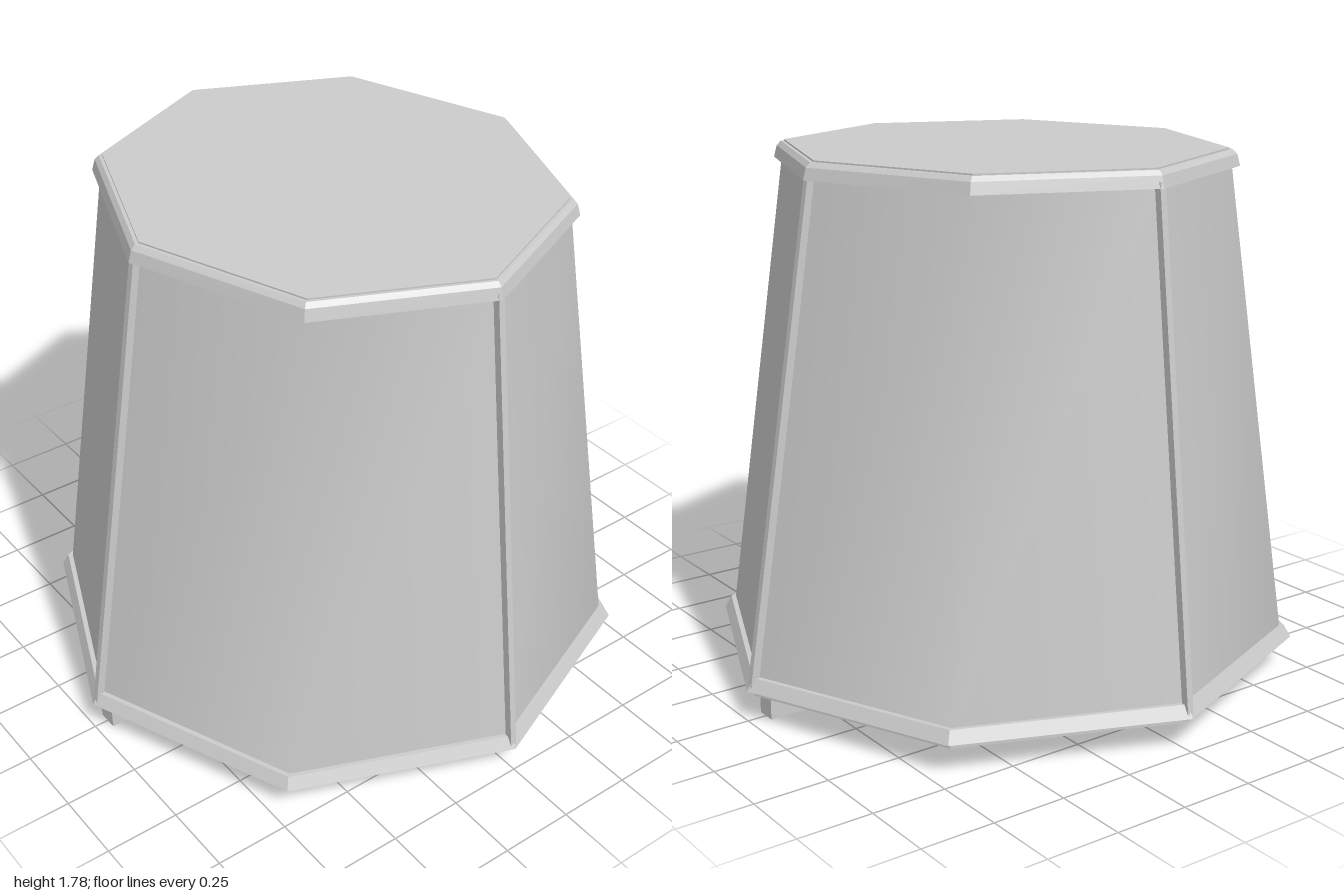
import * as THREE from 'three';

const SLOPE = 0.01; // the shade sits very slightly higher at the back

// Point k of an octagon at height y, with half-widths rx and rz
function corner([y, rx, rz], k) {
  const a = (k * Math.PI) / 4;
  const z = rz * Math.sin(a);
  return new THREE.Vector3(rx * Math.cos(a), y - SLOPE * z, z);
}

// Surface through octagon rows [y, rx, rz], from corner k0 over n sides
function loft(rows, k0 = 0, n = 8) {
  const pos = [], index = [];
  rows.forEach((row, i) => {
    for (let k = 0; k <= n; k++) {
      pos.push(...corner(row, k0 + k).toArray());
      if (i < rows.length - 1 && k < n) {
        const a = i * (n + 1) + k, b = a + 1, c = a + n + 1, d = c + 1;
        index.push(a, c, b, b, c, d);
      }
    }
  });
  const g = new THREE.BufferGeometry();
  g.setAttribute('position', new THREE.Float32BufferAttribute(pos, 3));
  g.setIndex(index);
  g.computeVertexNormals();
  return g;
}

function faceted(g) {
  const flat = g.toNonIndexed();
  flat.computeVertexNormals();
  return flat;
}

export function createModel() {
  const model = new THREE.Group();
  model.name = 'lampshade';
  const mat = new THREE.MeshStandardMaterial({ color: 0xcccccc, side: THREE.DoubleSide });
  const add = (name, geometry, x = 0, y = 0, z = 0) => {
    const mesh = new THREE.Mesh(geometry, mat);
    mesh.name = name;
    mesh.position.set(x, y, z);
    model.add(mesh);
    return mesh;
  };

  const bottom = [0.09, 0.968, 0.968], top = [1.73, 0.71, 0.782];

  // Four smooth panels, each bent once, with a rib along every seam
  for (let q = 0; q < 4; q++) {
    add('shadePanel', loft([bottom, top], q * 2, 2));

    const p0 = corner([0.11, 0.978, 0.978], q * 2);
    const p1 = corner([1.73, 0.717, 0.789], q * 2);
    const rib = add('rib', new THREE.BoxGeometry(0.022, 0.026, p0.distanceTo(p1)));
    rib.position.copy(p0).add(p1).multiplyScalar(0.5);
    // keep the rib's thickness pointing outward
    rib.up.set(Math.cos(q * Math.PI / 2), 0, Math.sin(q * Math.PI / 2));
    rib.lookAt(p1);
  }

  // Bottom rim: bevelled band with a stepped lip below
  add('bottomRim', faceted(loft([
    [0.08, 0.91, 0.91], [0.08, 0.972, 0.972], [0.102, 0.972, 0.972],
    [0.102, 1.0, 1.0], [0.143, 0.977, 0.977], [0.143, 0.91, 0.91], [0.08, 0.91, 0.91],
  ])));

  // Top rim and the raised lid that closes it
  add('topRim', faceted(loft([
    [1.712, 0.68, 0.75], [1.712, 0.741, 0.808], [1.75, 0.73, 0.798],
    [1.765, 0.715, 0.785], [1.765, 0.68, 0.75], [1.712, 0.68, 0.75],
  ])));
  add('lid', faceted(loft([
    [1.74, 0, 0], [1.74, 0.703, 0.775], [1.77, 0.703, 0.775], [1.77, 0, 0],
  ])));

  // Lower cross bar with a short post at each end
  add('lowerBar', new THREE.BoxGeometry(1.886, 0.055, 0.07), -0.008, 0.0275, 0);
  for (const s of [-1, 1]) {
    add('barPost', new THREE.BoxGeometry(0.05, 0.03, 0.07), -0.008 + s * 0.918, 0.07, 0);
  }

  // Upper cross bar, inside the bottom rim
  add('upperBar', new THREE.BoxGeometry(0.055, 0.045, 1.84), 0, 0.108, 0).rotation.x = SLOPE;

  return model;
}
